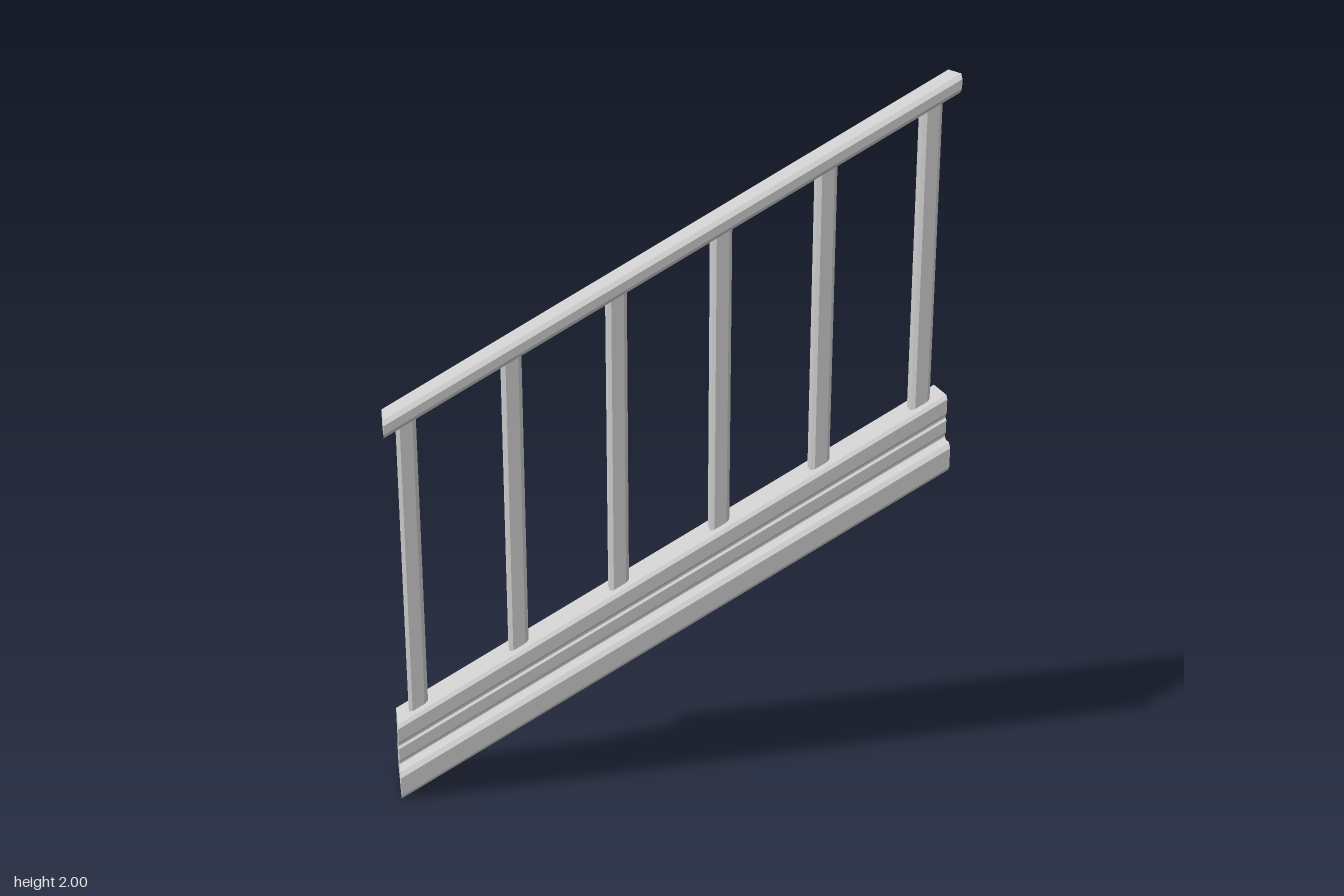
import * as THREE from 'three';

const HALF = 0.792, SLOPE = 0.889 / (2 * HALF);
const rise = x => SLOPE * (x + HALF);

const material = new THREE.MeshStandardMaterial({ color: 0xcccccc, flatShading: true });

// Closed shape from its right half, listed bottom to top and mirrored
function mirroredShape(half) {
  const pts = half.map(([x, y]) => new THREE.Vector2(x, y));
  const left = half.map(([x, y]) => new THREE.Vector2(-x, y)).reverse();
  return new THREE.Shape([...pts, ...left]);
}

// Moulding running along x, sheared upwards so its ends stay vertical
function slopedMoulding(name, half) {
  const geo = new THREE.ExtrudeGeometry(mirroredShape(half), { depth: 2 * HALF, bevelEnabled: false });
  geo.translate(0, 0, -HALF).rotateY(Math.PI / 2);
  const p = geo.attributes.position;
  for (let i = 0; i < p.count; i++) p.setY(i, p.getY(i) + rise(p.getX(i)));
  geo.computeVertexNormals();
  const mesh = new THREE.Mesh(geo, material);
  mesh.name = name;
  return mesh;
}

// Upright square bar with chamfered corners
function baluster(x, bottom, top) {
  const w = 0.0275, c = 0.0175;
  const shape = mirroredShape([[c, -w], [w, -c], [w, c], [c, w]]);
  const geo = new THREE.ExtrudeGeometry(shape, { depth: top - bottom, bevelEnabled: false });
  geo.rotateX(-Math.PI / 2);
  const mesh = new THREE.Mesh(geo, material);
  mesh.position.set(x, bottom, 0);
  mesh.name = 'baluster';
  return mesh;
}

export function createModel() {
  const group = new THREE.Group();
  group.name = 'stairRailing';

  // Stepped base: wide foot, middle band and top band with undercuts
  group.add(slopedMoulding('baseMoulding', [
    [0.098, 0], [0.108, 0.012], [0.108, 0.068], [0.096, 0.082], [0.07, 0.082],
    [0.058, 0.088], [0.058, 0.094], [0.065, 0.102], [0.065, 0.138], [0.058, 0.144],
    [0.058, 0.15], [0.065, 0.159], [0.065, 0.2], [0.055, 0.211],
  ]));

  // Handrail
  group.add(slopedMoulding('handrail', [
    [0.053, 1.06], [0.065, 1.072], [0.065, 1.097], [0.053, 1.111],
  ]));

  // Evenly spaced balusters, sunk into base and handrail
  for (let i = 0; i < 6; i++) {
    const x = -0.73 + i * 0.2916;
    group.add(baluster(x, rise(x) + 0.17, rise(x) + 1.085));
  }
  return group;
}
